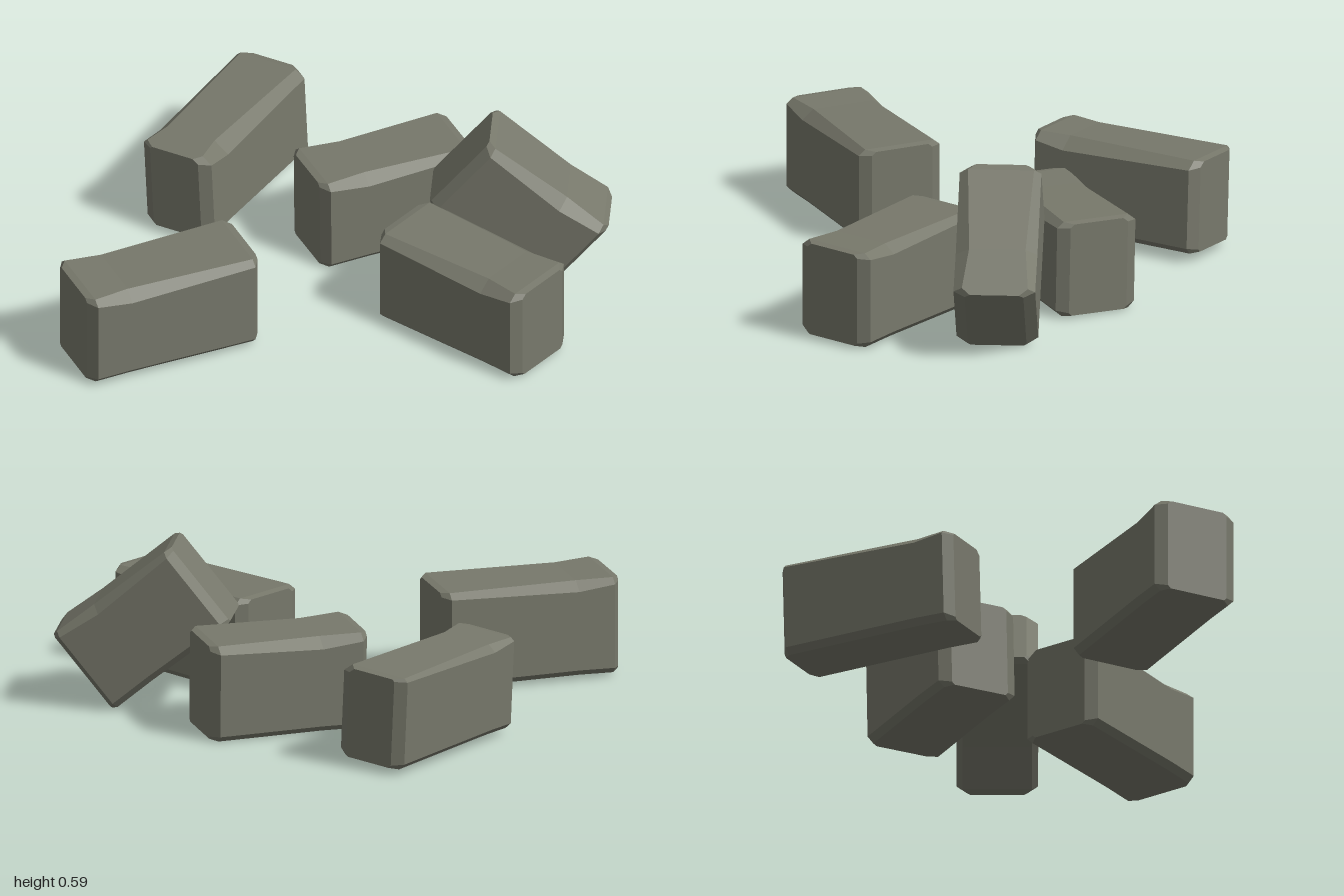
import * as THREE from 'three';

const stone = new THREE.MeshStandardMaterial({ color: 0x77786b, flatShading: true });

// Eight-sided cross-section of a brick with bevelled long edges, as [y, z]
function section(h, w, front, back, low) {
  return [
    [h, w - front], [h - front * 0.8, w], [-h + low, w], [-h, w - low],
    [-h, -w + low], [-h + low, -w], [h - back * 0.8, -w], [h, -w + back],
  ];
}

// Brick lofted along x: narrowed ends, full body, one worn spot in the top edges
function brickGeometry({ size: [length, height, width], front, back, wear }) {
  const l = length / 2, h = height / 2, w = width / 2, low = 0.022, end = 0.025;
  const rings = [
    [-l, section(h - 0.005, w - 0.04, front * 0.6, back * 0.6, 0.01)],
    [-l + end, section(h, w, front, back, low)],
    [wear * length, section(h - 0.003, w, front + 0.018, back + 0.015, low)],
    [l - end, section(h, w, front, back, low)],
    [l, section(h - 0.005, w - 0.04, front * 0.6, back * 0.6, 0.01)],
  ].map(([x, points]) => points.map(([y, z]) => [x, y, z]));

  const positions = [];
  const triangle = (a, b, c) => positions.push(...a, ...b, ...c);
  for (let i = 0; i < rings.length - 1; i++) {
    for (let j = 0; j < 8; j++) {
      const k = (j + 1) % 8;
      const a = rings[i][j], b = rings[i + 1][j], c = rings[i + 1][k], d = rings[i][k];
      triangle(a, d, c);
      triangle(a, c, b);
    }
  }
  // End faces
  const first = rings[0], last = rings[rings.length - 1];
  for (let j = 1; j < 7; j++) {
    triangle(last[0], last[j], last[j + 1]);
    triangle(first[0], first[j + 1], first[j]);
  }
  const geometry = new THREE.BufferGeometry();
  geometry.setAttribute('position', new THREE.Float32BufferAttribute(positions, 3));
  geometry.computeVertexNormals();
  return geometry;
}

// Turn is [roll, yaw, tilt]: yaw about y, then tilt and roll of the brick itself
const bricks = [
  { name: 'leftBrick', size: [0.65, 0.345, 0.31], at: [-0.675, 0.187, 0.168], turn: [0, 0, 0], front: 0.025, back: 0.025, wear: -0.26 },
  { name: 'backBrick', size: [0.67, 0.335, 0.275], at: [-0.08, 0.195, -0.585], turn: [-0.05, 0.6, 0], front: 0.035, back: 0.015, wear: -0.3 },
  { name: 'middleBrick', size: [0.575, 0.345, 0.3], at: [0.318, 0.177, -0.143], turn: [-0.02, 0, 0], front: 0.025, back: 0.03, wear: -0.2 },
  { name: 'frontBrick', size: [0.63, 0.345, 0.3], at: [0.35, 0.182, 0.545], turn: [0, -1.1, 0], front: 0.03, back: 0.025, wear: 0.25 },
  { name: 'leaningBrick', size: [0.535, 0.34, 0.285], at: [0.663, 0.3, 0.265], turn: [0, -0.49, -0.68], front: 0.03, back: 0.025, wear: 0.15 },
];

export function createModel() {
  const model = new THREE.Group();
  model.name = 'looseBricks';
  for (const brick of bricks) {
    const mesh = new THREE.Mesh(brickGeometry(brick), stone);
    mesh.name = brick.name;
    mesh.position.set(...brick.at);
    mesh.rotation.set(...brick.turn, 'YZX');
    model.add(mesh);
  }
  return model;
}
